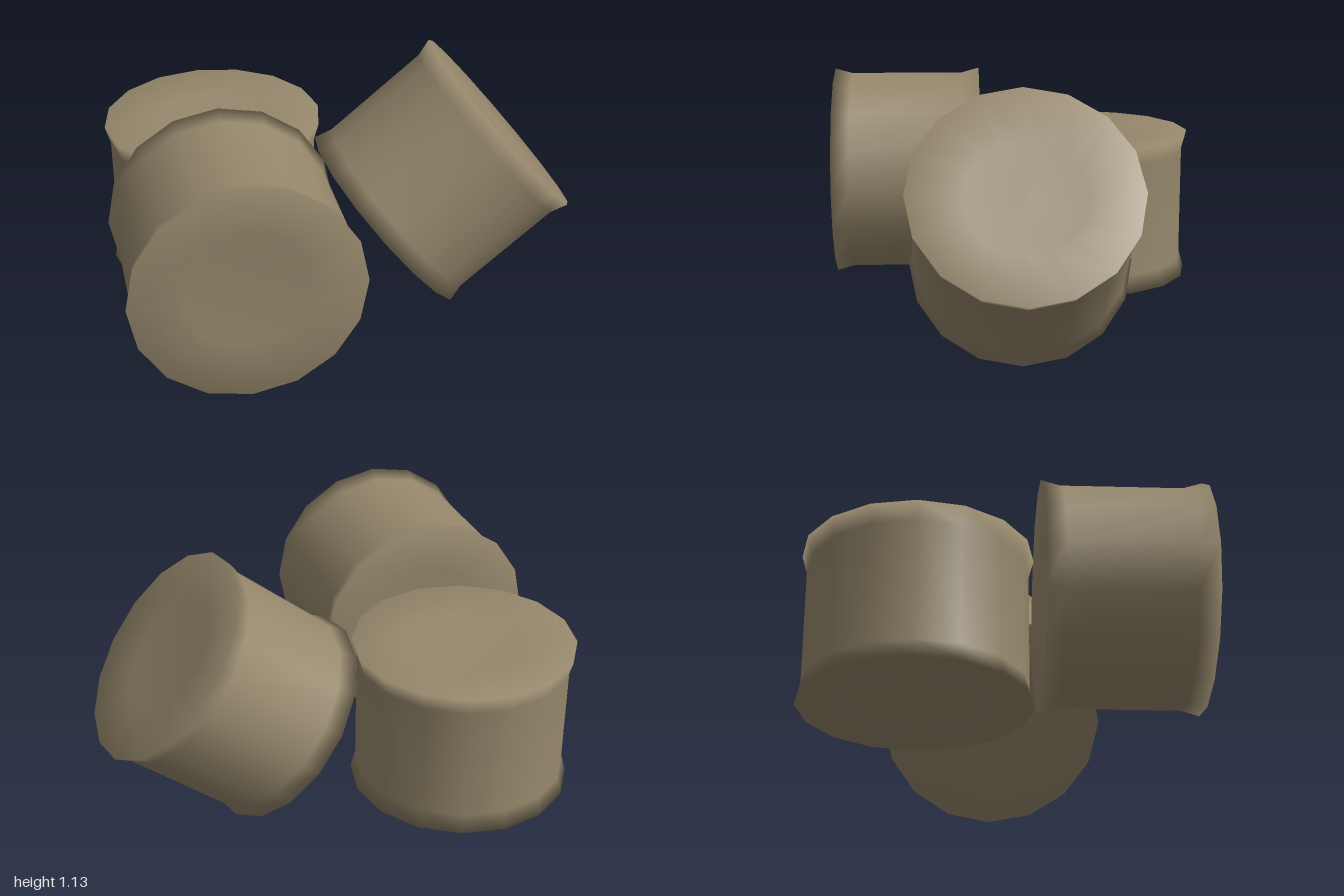
import * as THREE from 'three';

const HALF = 0.323;    // half length of a can
const SEAM = 0.2475;   // height where the wall starts to flare
const RIM = 0.466;
const WALL = 0.445;
const DISH = 0.303;    // height of the slightly sunken lid

// Upper half of the profile: wall, flared rim, shallow lid
const HALF_PROFILE = [[WALL, SEAM], [RIM, HALF], [0.25, DISH], [0, DISH]];

// Barrel with a shallow lid at both ends, softly shaded throughout
function canGeometry() {
  const lower = HALF_PROFILE.map(([r, y]) => [r, -y]).reverse();
  const points = [...lower, ...HALF_PROFILE].map(([r, y]) => new THREE.Vector2(r, y));
  return new THREE.LatheGeometry(points, 16);
}

export function createModel() {
  const group = new THREE.Group();
  group.name = 'canPile';
  const material = new THREE.MeshStandardMaterial({ color: 0x96886c });
  material.name = 'dull tan';
  const geometry = canGeometry();

  const addCan = (name, position, rotation) => {
    const can = new THREE.Mesh(geometry, material);
    can.name = name;
    can.position.set(...position);
    can.rotation.set(...rotation);
    group.add(can);
  };

  addCan('lyingCan', [-0.535, 0.593, 0.4725], [Math.PI / 2, 0, 0]);
  addCan('standingCan', [-0.49, 0.451, -0.333], [0, 0, 0]);
  addCan('tiltedCan', [0.454, 0.5665, -0.01], [0, 0, -0.884]);
  return group;
}
